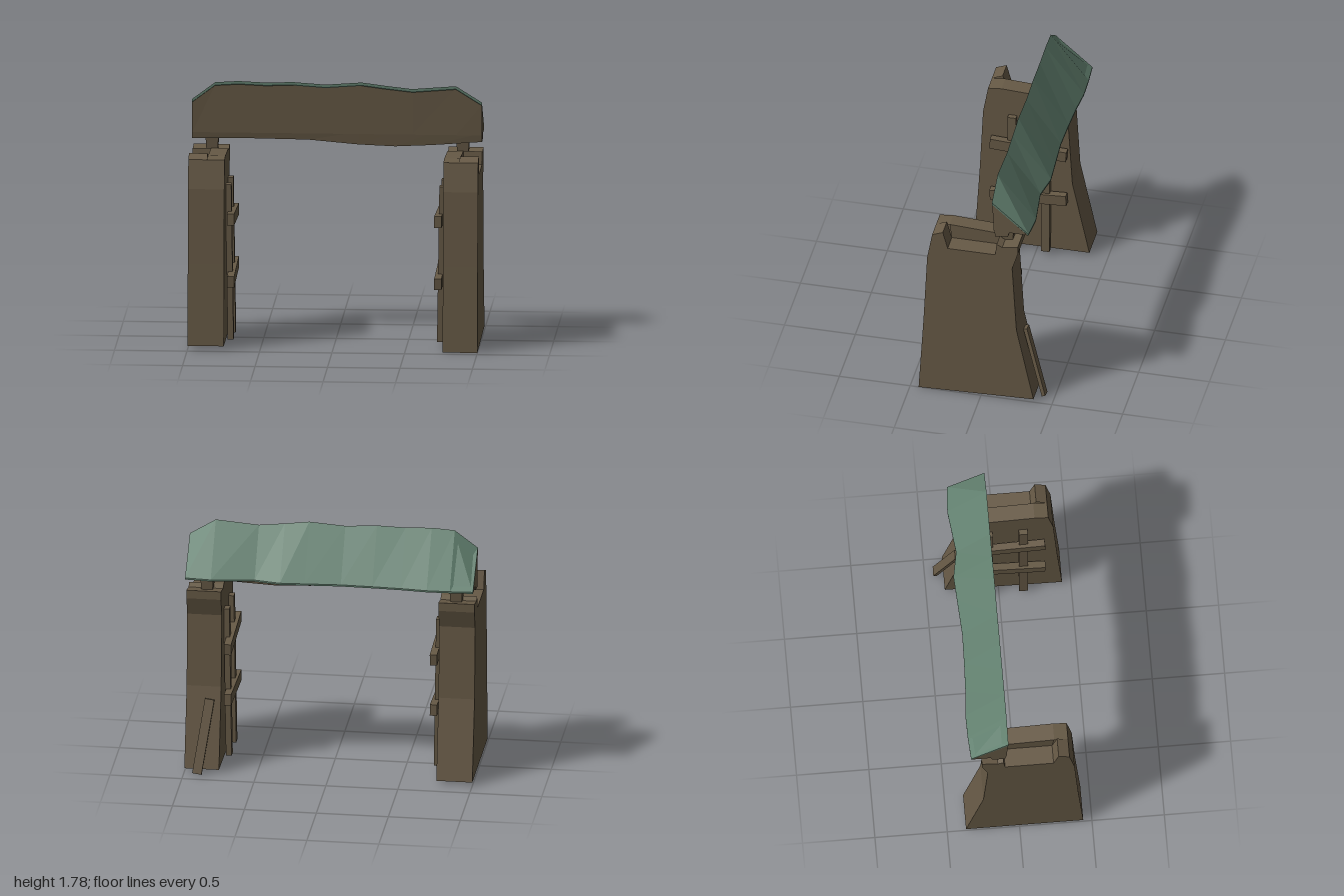
import * as THREE from 'three';

export function createModel() {
  const group = new THREE.Group();
  const wood = new THREE.MeshStandardMaterial({ color: 0x675a46, side: THREE.DoubleSide, flatShading: true });
  wood.name = 'weathered brown';
  const green = new THREE.MeshStandardMaterial({ color: 0x62806f, side: THREE.DoubleSide, flatShading: true });
  green.name = 'moss green';

  const add = (name, geo, mat = wood, parent = group) => {
    const m = new THREE.Mesh(geo, mat);
    m.name = name;
    parent.add(m);
    return m;
  };
  const fromTriangles = (points) => {
    const g = new THREE.BufferGeometry();
    g.setAttribute('position', new THREE.Float32BufferAttribute(points.flat(), 3));
    g.computeVertexNormals();
    return g;
  };

  // Closed solid through sections along x; each section is { x, pts: [[z, y], ...] }
  const loft = (sections) => {
    const tris = [];
    const at = (s, i) => [s.x, s.pts[i % s.pts.length][1], s.pts[i % s.pts.length][0]];
    const n = sections[0].pts.length;
    for (let k = 0; k < sections.length - 1; k++) {
      const a = sections[k], b = sections[k + 1];
      for (let i = 0; i < n; i++) {
        tris.push(at(a, i), at(b, i), at(b, i + 1), at(a, i), at(b, i + 1), at(a, i + 1));
      }
    }
    const first = sections[0], last = sections[sections.length - 1];
    for (let i = 1; i < n - 1; i++) {
      tris.push(at(first, 0), at(first, i), at(first, i + 1));
      tris.push(at(last, 0), at(last, i + 1), at(last, i));
    }
    return fromTriangles(tris);
  };

  // Strip of quads following a side path from x0 to x1
  const strip = (path, x0, x1) => {
    const tris = [];
    for (let i = 0; i < path.length - 1; i++) {
      const [z0, y0] = path[i], [z1, y1] = path[i + 1];
      tris.push([x0, y0, z0], [x1, y0, z0], [x1, y1, z1], [x0, y0, z0], [x1, y1, z1], [x0, y1, z1]);
    }
    return fromTriangles(tris);
  };
  // Flat side wall at one x; facing +x or -x
  const wall = (path, x, facing) => {
    const shape = new THREE.Shape(path.map(([z, y]) => new THREE.Vector2(-z, y)));
    const g = new THREE.ShapeGeometry(shape);
    g.rotateY(Math.PI / 2);
    if (facing < 0) g.setIndex(Array.from(g.index.array).reverse());
    g.computeVertexNormals();
    return g.translate(x, 0, 0);
  };

  // Pillars: hollow below, tapered, with a recess in the top open to the outside
  const buildPillar = (s, inner, base) => {
    const pillar = new THREE.Group();
    pillar.name = s > 0 ? 'leftPillar' : 'rightPillar';
    group.add(pillar);
    const front = [[0.44, base], [0.405, 0.6], [0.38, 1.12], [0.345, 1.32]];
    const back = [[-0.26, 1.31], [-0.26, 1.25], [-0.22, 1.12], [-0.25, 0.6], [-0.37, 0.03]];
    const full = [...front, [0.25, 1.33], [-0.11, 1.31], [-0.15, 1.29], ...back];
    const notched = [...front, [0.27, 1.35], [0.235, 1.22], [-0.1, 1.22], [-0.11, 1.31], [-0.15, 1.29], ...back];
    const rim = 0.87;
    add('pillarInnerShell', strip(full, s * inner, s * rim), wood, pillar);
    add('pillarOuterShell', strip(notched, s * rim, s), wood, pillar);
    add('pillarInnerWall', wall(full, s * inner, -s), wood, pillar);
    add('pillarOuterWall', wall(notched, s, s), wood, pillar);
    add('recessWall', wall([[0.25, 1.33], [0.235, 1.22], [-0.1, 1.22], [-0.11, 1.31]], s * rim, s), wood, pillar);

    // Upright slats and crossbars on the inner side
    for (const z of [0.17, -0.07]) {
      const slat = add('slat', new THREE.BoxGeometry(0.04, 1.09, 0.06), wood, pillar);
      slat.position.set(s * (inner - 0.025), 0.575, z);
      slat.rotation.z = s * -0.015;
    }
    [[0.88, 0.06], [0.475, -0.06]].forEach(([y, tilt]) => {
      const bar = add('crossbar', new THREE.BoxGeometry(0.05, 0.08, 0.54), wood, pillar);
      bar.position.set(s * (inner - 0.04), y, 0.05);
      bar.rotation.x = -tilt;
    });

    // Short post carrying the beam
    const post = new THREE.CylinderGeometry(0.066, 0.054, 0.14, 4).rotateY(Math.PI / 4);
    add('post', post, wood, pillar).position.set(s * 0.865, 1.35, -0.165);
  };
  buildPillar(1, 0.76, 0.005);
  buildPillar(-1, 0.75, 0.03);

  // Plank leaning against the back of the left pillar
  const plankDir = new THREE.Vector3(-0.07, 0.5, 0.145);
  const plank = add('leaningPlank', new THREE.BoxGeometry(0.065, plankDir.length(), 0.025));
  plank.position.set(0.87, 0.267, -0.355);
  plank.quaternion.setFromUnitVectors(new THREE.Vector3(0, 1, 0), plankDir.clone().normalize());

  // Beam stations: x, ridge height, eave z
  const stations = [
    [-1, 1.66, -0.335], [-0.84, 1.78, -0.345], [-0.68, 1.79, -0.348], [-0.5, 1.782, -0.333],
    [-0.3, 1.787, -0.325], [-0.08, 1.772, -0.32], [0.17, 1.79, -0.335], [0.34, 1.768, -0.345],
    [0.52, 1.748, -0.312], [0.82, 1.772, -0.348], [1, 1.66, -0.335],
  ];
  add('beam', loft(stations.map(([x, y, z]) => ({
    x, pts: [[-0.08, y - 0.018], [z + 0.005, 1.422], [-0.09, 1.425]],
  }))));
  add('roofSlope', loft(stations.map(([x, y, z]) => ({
    x, pts: [[-0.077, y], [z, 1.432], [z, 1.42], [-0.077, y - 0.02]],
  }))), green);

  // Wavy lintel under the beam
  const lintel = [[-1, 1.38], [-0.6, 1.385], [-0.2, 1.38], [0.15, 1.35], [0.4, 1.34], [0.65, 1.352], [1, 1.378]];
  add('lintel', loft(lintel.map(([x, y]) => ({
    x, pts: [[-0.092, 1.44], [-0.2, 1.43], [-0.19, y + 0.01], [-0.1, y]],
  }))));

  return group;
}
